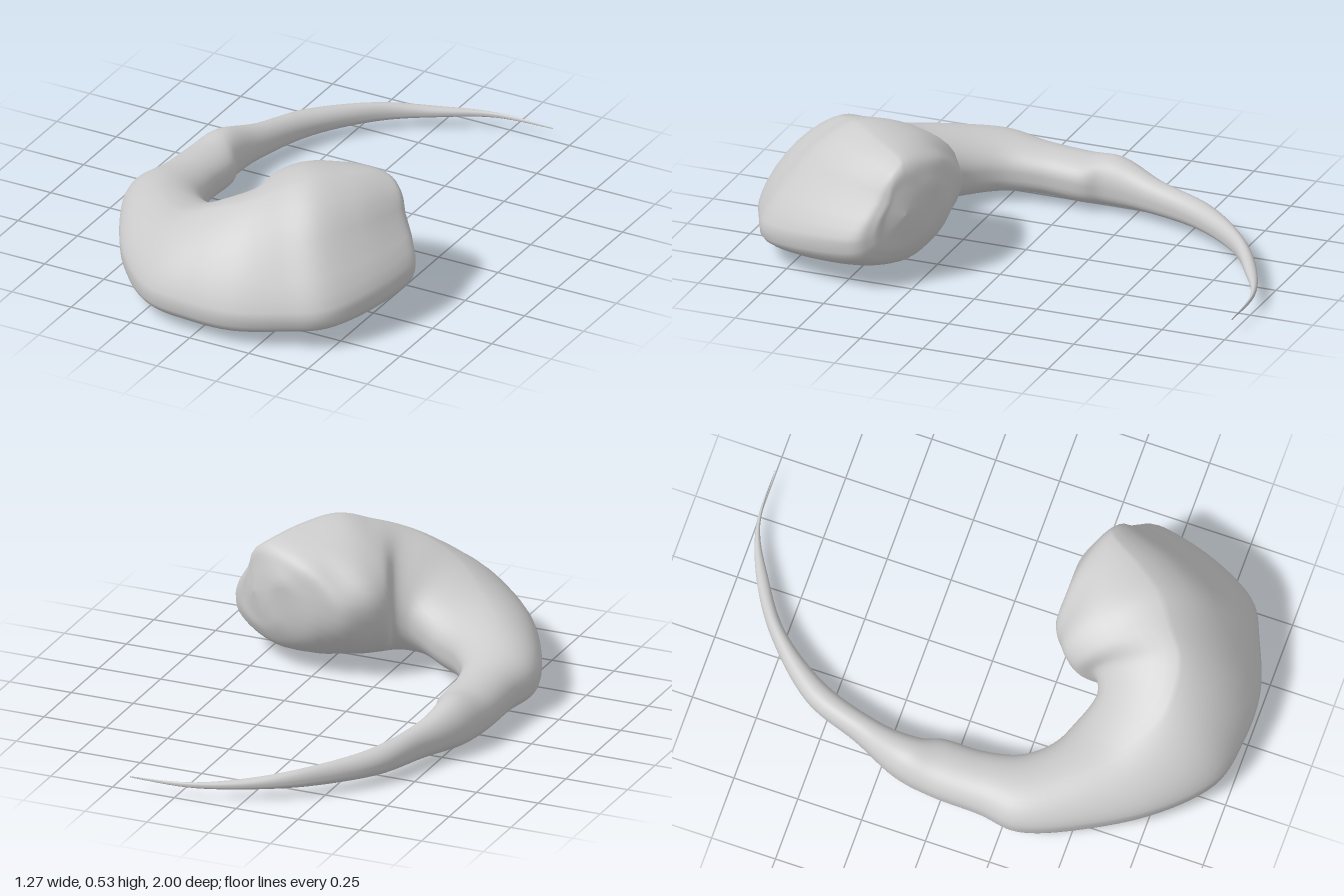
import * as THREE from 'three';

// Cross-sections from tail tip to head:
// inner x, z | outer x, z | bottom y, top y | widest y inside, outside | outer slope (1 round, 2 straight)
const TAIL = [
  [0.43, -1.0, 0.43, -1.0, 0.05, 0.055, 0.052, 0.052, 1],
  [0.2, -0.98, 0.2, -0.995, 0.045, 0.065, 0.055, 0.055, 1],
  [0.01, -0.88, -0.01, -0.92, 0.04, 0.08, 0.06, 0.06, 1],
  [-0.17, -0.75, -0.21, -0.79, 0.035, 0.108, 0.07, 0.07, 1],
  [-0.32, -0.54, -0.4, -0.59, 0.03, 0.13, 0.08, 0.08, 1],
  [-0.4, -0.3, -0.49, -0.37, 0.025, 0.155, 0.09, 0.09, 1],
  [-0.415, -0.14, -0.575, -0.19, 0.015, 0.2, 0.1, 0.1, 1],
  [-0.39, -0.05, -0.605, -0.03, 0.015, 0.195, 0.11, 0.1, 1],
];
const BODY = [
  [-0.39, 0.1, -0.615, 0.16, 0.02, 0.205, 0.12, 0.11, 1],
  [-0.36, 0.24, -0.635, 0.32, 0.015, 0.23, 0.13, 0.12, 1],
  [-0.28, 0.34, -0.56, 0.52, 0.005, 0.255, 0.14, 0.13, 1.1],
  [-0.18, 0.39, -0.41, 0.77, 0, 0.29, 0.15, 0.13, 1.2],
  [-0.1, 0.425, -0.22, 0.95, 0, 0.355, 0.18, 0.12, 1.3],
  [-0.05, 0.43, -0.02, 0.995, 0, 0.415, 0.21, 0.12, 1.4],
];
const HEAD = [
  [-0.01, 0.4, 0.17, 0.99, 0, 0.46, 0.25, 0.12, 1.5],
  [-0.02, 0.33, 0.36, 0.92, 0.01, 0.5, 0.28, 0.13, 1.5],
  [0.03, 0.26, 0.5, 0.84, 0.02, 0.533, 0.29, 0.14, 1.45],
  [0.12, 0.215, 0.59, 0.66, 0.035, 0.52, 0.3, 0.17, 1.45],
  [0.22, 0.205, 0.635, 0.45, 0.07, 0.495, 0.32, 0.2, 1.5],
  [0.34, 0.215, 0.6, 0.37, 0.13, 0.46, 0.33, 0.22, 1.3],
  [0.42, 0.235, 0.55, 0.33, 0.2, 0.39, 0.31, 0.26, 1.1],
  [0.495, 0.275, 0.495, 0.275, 0.29, 0.29, 0.29, 0.29, 1],
];

const SIDES = 40;
const STEPS = 7;

// Smooth interpolation of every section value
function sectionAt(list, t) {
  const i = Math.min(Math.floor(t), list.length - 2);
  const f = t - i;
  const a = list[Math.max(i - 1, 0)], b = list[i], c = list[i + 1];
  const d = list[Math.min(i + 2, list.length - 1)];
  return b.map((v, k) => {
    const m0 = (c[k] - a[k]) / 2, m1 = (d[k] - v) / 2;
    const f2 = f * f, f3 = f2 * f;
    return v * (2 * f3 - 3 * f2 + 1) + m0 * (f3 - 2 * f2 + f)
      + c[k] * (3 * f2 - 2 * f3) + m1 * (f3 - f2);
  });
}

// Point on a section: full inner side, sloping outer side, flattened underside
function pointOn(s, angle) {
  const [ix, iz, ox, oz, bottom, top, wi, wo, slope] = s;
  const u = Math.cos(angle), v = Math.sin(angle);
  const q = u > 0 && v > 0 ? slope : 1;
  const under = 0.65 * (u < 0 ? slope : 1);
  const k = (Math.sign(u) * Math.pow(Math.abs(u), q) + 1) / 2;
  const wide = wi + (wo - wi) * k;
  const y = v > 0 ? wide + (top - wide) * Math.pow(v, q)
    : wide - (wide - bottom) * Math.pow(-v, under);
  return [ix + (ox - ix) * k, y, iz + (oz - iz) * k];
}

function createSkin() {
  const list = [...TAIL, ...BODY, ...HEAD];
  const rings = (list.length - 1) * STEPS;
  const headStart = TAIL.length + BODY.length;
  const position = [], index = [];
  for (let i = 0; i <= rings; i++) {
    const t = i / STEPS;
    const s = sectionAt(list, t);
    const swell = THREE.MathUtils.smoothstep(t, headStart, headStart + 3)
      * (1 - THREE.MathUtils.smoothstep(t, list.length - 3, list.length - 1));
    const cx = (s[0] + s[2]) / 2, cz = (s[1] + s[3]) / 2;
    for (let j = 0; j < SIDES; j++) {
      const a = j / SIDES * Math.PI * 2;
      const p = pointOn(s, a);
      // Soft lumps over the rear face, and a groove above the flared outer rim
      const lump = 0.008 * Math.max(0, 0.3 - Math.cos(a)) * Math.sin(a * 5 + t) * Math.cos(t * 2.6);
      const groove = 0.025 * Math.exp(-(((a - 0.65) / 0.25) ** 2));
      const push = swell * (lump - groove);
      const r = Math.hypot(p[0] - cx, p[2] - cz) || 1;
      position.push(p[0] + (p[0] - cx) / r * push, p[1], p[2] + (p[2] - cz) / r * push);
      if (i < rings) {
        const n = (j + 1) % SIDES;
        const A = i * SIDES + j, B = i * SIDES + n;
        index.push(A, A + SIDES, B, B, A + SIDES, B + SIDES);
      }
    }
  }
  const geometry = new THREE.BufferGeometry();
  geometry.setAttribute('position', new THREE.Float32BufferAttribute(position, 3));
  geometry.setIndex(index);
  geometry.computeVertexNormals();
  return geometry;
}

export function createModel() {
  const model = new THREE.Group();
  model.name = 'curledTaperedBody';
  const material = new THREE.MeshStandardMaterial({ color: 0xcccccc });

  // One continuous skin from the thin tail to the bulky head
  const skin = new THREE.Mesh(createSkin(), material);
  skin.name = 'bodyAndTail';
  model.add(skin);
  return model;
}
